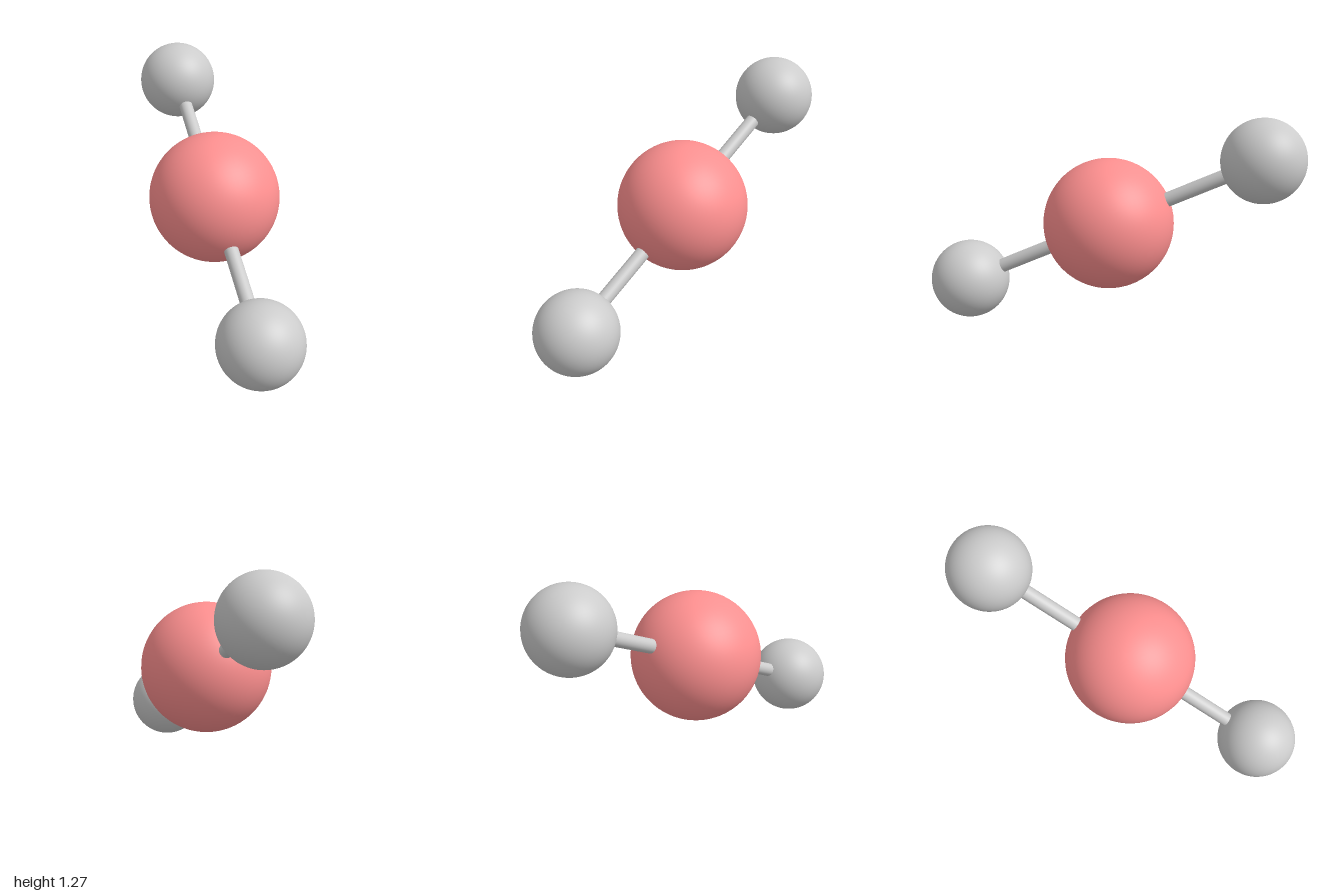
import * as THREE from 'three';

export function createModel() {
  const group = new THREE.Group();
  const grey = new THREE.MeshStandardMaterial({ color: 0xcccccc });
  const red = new THREE.MeshStandardMaterial({ color: 0xff9090 });
  const centre = new THREE.Vector3(0, 0.633, 0);
  const offset = new THREE.Vector3(0.771, -0.404, 0.315);

  const addBall = (name, radius, position, material) => {
    const ball = new THREE.Mesh(new THREE.SphereGeometry(radius, 64, 40), material);
    ball.name = name;
    ball.position.copy(position);
    group.add(ball);
  };

  // Large ball in the middle
  addBall('centreBall', 0.367, centre, red);

  // A small ball on a rod at each of two opposite sides
  for (const [side, sign] of [['left', 1], ['right', -1]]) {
    const arm = offset.clone().multiplyScalar(sign);
    addBall(side + 'Ball', 0.229, centre.clone().add(arm), grey);

    const rod = new THREE.Mesh(new THREE.CylinderGeometry(0.04, 0.04, arm.length(), 32), grey);
    rod.name = side + 'Rod';
    rod.position.copy(centre).addScaledVector(arm, 0.5);
    rod.quaternion.setFromUnitVectors(new THREE.Vector3(0, 1, 0), arm.clone().normalize());
    group.add(rod);
  }
  return group;
}
